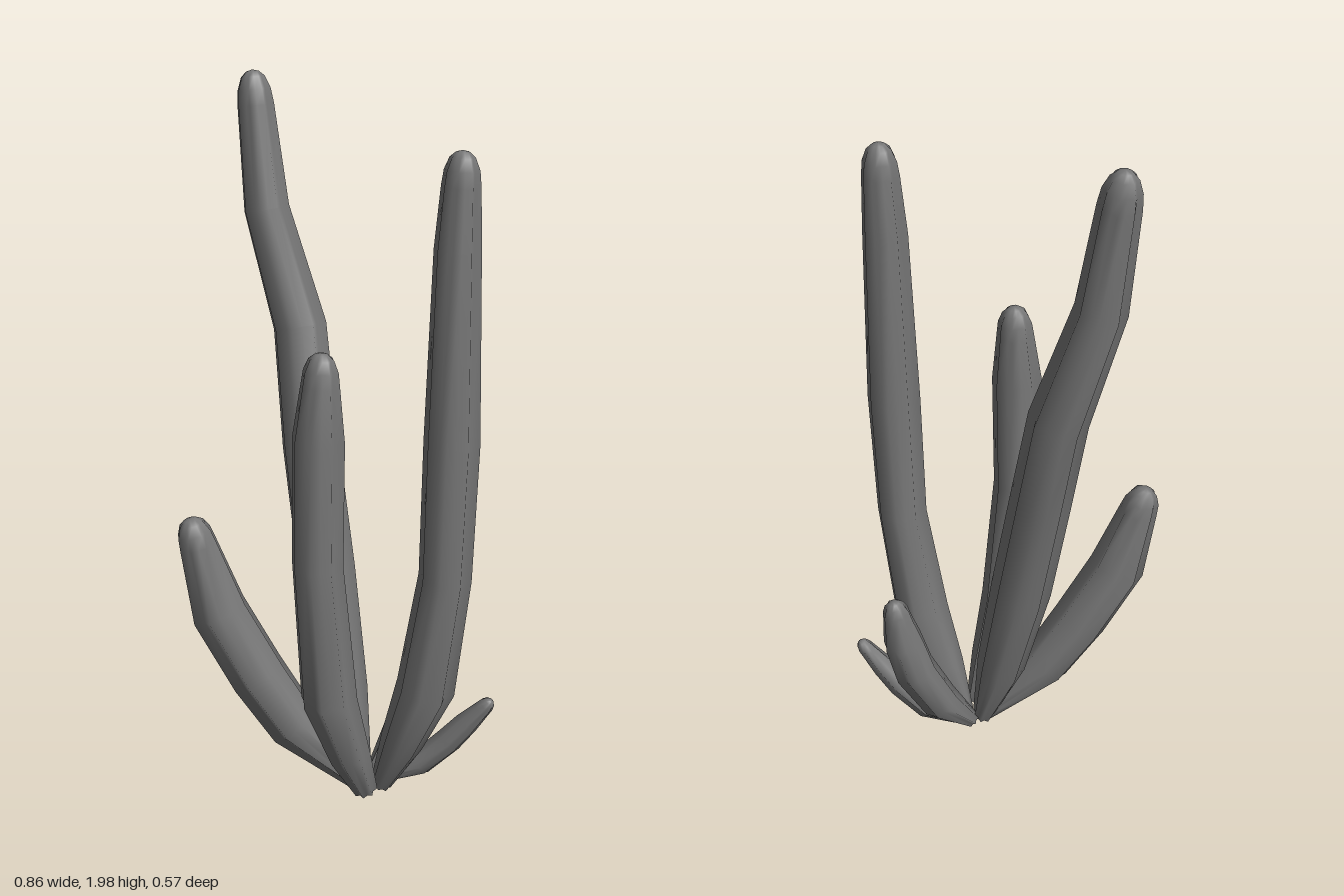
import * as THREE from 'three';

const RIBS = 8;
const SIDES = RIBS * 2;

// Each stem: rings of [x, y, z, ridge radius] from root to shoulder, then the height of its domed tip
const STEMS = [
  { name: 'tallStem', dome: 0.09, rings: [
    [0.055, 0.03, 0.02, 0.03], [-0.01, 0.3, -0.025, 0.07], [-0.075, 0.65, -0.08, 0.083], [-0.13, 1.0, -0.125, 0.08],
    [-0.18, 1.32, -0.205, 0.075], [-0.272, 1.64, -0.213, 0.063], [-0.302, 1.91, -0.231, 0.05]] },
  { name: 'rightStem', dome: 0.085, rings: [
    [0.115, 0.03, 0.03, 0.03], [0.18, 0.2, 0.06, 0.06], [0.25, 0.4, 0.085, 0.08], [0.298, 0.75, 0.1, 0.07],
    [0.306, 1.13, 0.103, 0.072], [0.306, 1.63, 0.1, 0.058], [0.31, 1.785, 0.1, 0.048]] },
  { name: 'frontStem', dome: 0.085, rings: [
    [0.08, 0.035, 0.075, 0.035], [0.045, 0.18, 0.125, 0.06], [0.002, 0.39, 0.185, 0.078], [-0.02, 0.8, 0.213, 0.068],
    [-0.015, 1.15, 0.217, 0.068], [-0.01, 1.295, 0.213, 0.05]] },
  { name: 'leaningStem', dome: 0.08, rings: [
    [0.045, 0.035, 0.035, 0.03], [-0.13, 0.23, 0.085, 0.075], [-0.225, 0.39, 0.11, 0.08],
    [-0.325, 0.59, 0.135, 0.079], [-0.374, 0.79, 0.147, 0.053]] },
  { name: 'backStem', dome: 0.075, rings: [
    [0.085, 0.035, -0.01, 0.025], [0.165, 0.18, -0.085, 0.057], [0.225, 0.35, -0.138, 0.061],
    [0.252, 0.47, -0.15, 0.057], [0.262, 0.55, -0.156, 0.042]] },
  { name: 'smallStem', dome: 0.045, rings: [
    [0.13, 0.035, -0.01, 0.018], [0.22, 0.085, -0.023, 0.037], [0.3, 0.17, -0.026, 0.038],
    [0.35, 0.235, -0.024, 0.034], [0.392, 0.288, -0.021, 0.025]] },
];

// Ribbed tube skinned through the rings, closed at the root and domed at the tip
function stemGeometry(rings, dome) {
  const pts = rings.map(([x, y, z]) => new THREE.Vector3(x, y, z));
  const last = pts.length - 1;
  const up = new THREE.Vector3(0, 1, 0);
  const sections = pts.map((p, i) => {
    const dir = pts[Math.min(i + 1, last)].clone().sub(pts[Math.max(i - 1, 0)]).normalize();
    return { p, r: rings[i][3], dir, groove: 0.78 };
  });

  // Rounded tip whose grooves fade out
  const tipDir = sections[last].dir;
  for (const [t, k, groove] of [[0.45, 0.9, 0.82], [0.8, 0.65, 0.88], [0.95, 0.35, 0.94]]) {
    sections.push({ p: pts[last].clone().addScaledVector(tipDir, t * dome), r: rings[last][3] * k, dir: tipDir, groove });
  }

  const pos = [];
  const index = [];
  const q = new THREE.Quaternion();
  for (const { p, r, dir, groove } of sections) {
    q.setFromUnitVectors(up, dir);
    for (let j = 0; j < SIDES; j++) {
      const a = (j / SIDES) * Math.PI * 2;
      const rad = j % 2 ? r * groove : r * 1.02;
      const v = new THREE.Vector3(Math.sin(a) * rad, 0, Math.cos(a) * rad).applyQuaternion(q).add(p);
      pos.push(v.x, Math.max(v.y, 0), v.z);
    }
  }
  for (let i = 0; i < sections.length - 1; i++) {
    for (let j = 0; j < SIDES; j++) {
      const a = i * SIDES + j;
      const b = i * SIDES + (j + 1) % SIDES;
      index.push(a, b, b + SIDES, a, b + SIDES, a + SIDES);
    }
  }

  // Centre points closing both ends
  const root = pos.length / 3;
  const tip = pts[last].clone().addScaledVector(tipDir, dome);
  pos.push(...pts[0].toArray(), ...tip.toArray());
  const top = (sections.length - 1) * SIDES;
  for (let j = 0; j < SIDES; j++) {
    const n = (j + 1) % SIDES;
    index.push(root, n, j, root + 1, top + j, top + n);
  }

  const g = new THREE.BufferGeometry();
  g.setAttribute('position', new THREE.Float32BufferAttribute(pos, 3));
  g.setIndex(index);
  g.computeVertexNormals();
  return g;
}

export function createModel() {
  const group = new THREE.Group();
  group.name = 'columnCactus';
  const material = new THREE.MeshStandardMaterial({ color: 0x777777 });
  material.name = 'stemGrey';
  for (const { name, rings, dome } of STEMS) {
    const mesh = new THREE.Mesh(stemGeometry(rings, dome), material);
    mesh.name = name;
    group.add(mesh);
  }
  return group;
}
